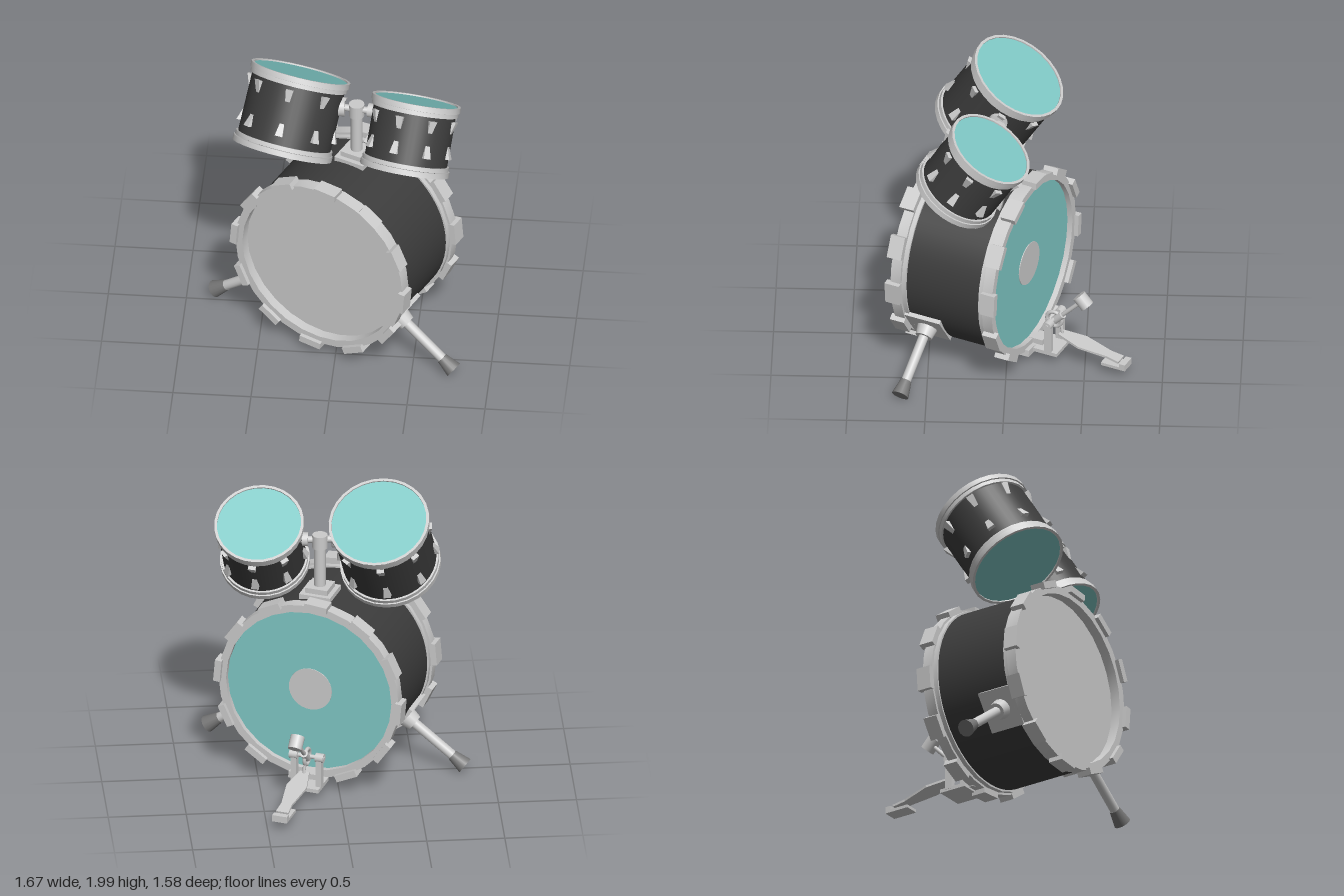
import * as THREE from 'three';
import { toCreasedNormals } from 'three/addons/utils/BufferGeometryUtils.js';

const mat = (color) => new THREE.MeshStandardMaterial({ color });
const GREY = mat(0xcccccc), DARK = mat(0x3c3c3c), TEAL = mat(0x7fc8c5), RUBBER = mat(0x777777);
const V = (x, y, z) => new THREE.Vector3(x, y, z);
const UP = V(0, 1, 0);

function add(parent, name, geometry, material = GREY, x = 0, y = 0, z = 0) {
  const mesh = new THREE.Mesh(geometry, material);
  mesh.name = name;
  mesh.position.set(x, y, z);
  parent.add(mesh);
  return mesh;
}

function group(parent, name) {
  const g = new THREE.Group();
  g.name = name;
  parent.add(g);
  return g;
}

// Rod between two points, with an optional taper
function rod(parent, name, a, b, r0, r1 = r0, material = GREY, sides = 16) {
  const d = b.clone().sub(a);
  const m = add(parent, name, new THREE.CylinderGeometry(r1, r0, d.length(), sides), material);
  m.position.copy(a).addScaledVector(d, 0.5);
  m.quaternion.setFromUnitVectors(UP, d.normalize());
  return m;
}

// Square-edged ring around the y axis
function ring(rIn, rOut, y0, y1, sides = 28) {
  const p = [[rOut, y0], [rOut, y1], [rIn, y1], [rIn, y0], [rOut, y0]];
  const g = new THREE.LatheGeometry(p.map(([x, y]) => new THREE.Vector2(x, y)), sides);
  return toCreasedNormals(g, 0.6);
}

// Box narrowing towards +y and thinning towards its outer face
function lugGeometry(w, h, d) {
  const g = new THREE.BoxGeometry(w, h, d).toNonIndexed();
  const p = g.attributes.position;
  for (let i = 0; i < p.count; i++) {
    if (p.getY(i) > 0) {
      p.setX(i, p.getX(i) * 0.6);
      if (p.getZ(i) > 0) p.setZ(i, 0);
    }
  }
  g.computeVertexNormals();
  return g;
}

function bassDrum(root) {
  const drum = group(root, 'bassDrum');
  drum.position.set(0.04, 0.68, 0.16);
  drum.rotation.y = -0.424;

  // Shell, heads and hoops are turned around y, then laid along z
  const body = group(drum, 'bassDrumBody');
  body.rotation.x = Math.PI / 2;
  add(body, 'bassShell', new THREE.CylinderGeometry(0.583, 0.583, 0.58, 64), DARK);
  add(body, 'frontHead', new THREE.CylinderGeometry(0.565, 0.565, 0.02, 48), GREY, 0, 0.285);
  add(body, 'batterHead', new THREE.CylinderGeometry(0.565, 0.565, 0.02, 48), TEAL, 0, -0.315);
  add(body, 'batterPatch', new THREE.CylinderGeometry(0.145, 0.145, 0.006, 32), GREY, 0, -0.327);
  for (const s of [1, -1]) {
    const end = s > 0 ? 'front' : 'rear';
    add(body, end + 'Hoop', ring(0.56, 0.61, -0.035, 0.035), GREY, 0, s * 0.325);
    add(body, end + 'InnerHoop', ring(0.57, 0.597, -0.015, 0.015), GREY, 0, s * 0.272);
    // Hoop clamps
    for (let i = 0; i < 12; i++) {
      const a = (i * 30 - s * 5) * Math.PI / 180;
      const c = add(drum, end + 'Clamp', new THREE.BoxGeometry(0.045, 0.15, 0.1), GREY,
        Math.cos(a) * 0.612, Math.sin(a) * 0.612, s * 0.338);
      c.rotation.z = a;
    }
  }

  // Spurs point outwards from the shell on both sides
  for (const s of [1, -1]) {
    const spur = group(drum, s > 0 ? 'leftSpur' : 'rightSpur');
    spur.position.z = 0.16;
    if (s < 0) spur.rotation.y = Math.PI;
    if (s < 0) spur.position.z = 0.16;
    const dir = V(Math.cos(0.628), -Math.sin(0.628), 0);
    const at = (r) => dir.clone().multiplyScalar(r);
    const plate = add(spur, 'spurPlate', new THREE.BoxGeometry(0.06, 0.27, 0.25));
    plate.position.copy(at(0.565));
    plate.rotation.z = -0.628;
    rod(spur, 'spurCollar', at(0.59), at(0.66), 0.068, 0.055);
    rod(spur, 'spurRod', at(0.64), at(1.0), 0.032);
    rod(spur, 'spurFoot', at(0.975), at(1.08), 0.036, 0.056, RUBBER);
  }
  pedal(drum);
}

// Kick pedal, in the frame of the bass drum (floor side at y = -0.61)
function pedal(drum) {
  const p = group(drum, 'pedal');
  p.position.set(-0.035, -0.68, 0);
  add(p, 'pedalBase', new THREE.BoxGeometry(0.2, 0.025, 0.19), GREY, 0, 0.075, -0.46);
  add(p, 'hoopGrip', new THREE.BoxGeometry(0.1, 0.05, 0.1), GREY, 0, 0.1, -0.38);
  for (const s of [1, -1]) {
    add(p, 'pedalPost', new THREE.BoxGeometry(0.035, 0.21, 0.05), GREY, s * 0.085, 0.18, -0.49);
    rod(p, 'axleBearing', V(s * 0.06, 0.285, -0.49), V(s * 0.115, 0.285, -0.49), 0.03);
  }
  rod(p, 'pedalAxle', V(-0.12, 0.285, -0.49), V(0.12, 0.285, -0.49), 0.014);
  const cam = add(p, 'pedalCam', new THREE.TorusGeometry(0.052, 0.013, 8, 24), GREY, 0, 0.28, -0.49);
  cam.rotation.y = Math.PI / 2;
  rod(p, 'pedalLink', V(0, 0.24, -0.54), V(0, 0.17, -0.55), 0.01);

  // Beater
  rod(p, 'beaterRod', V(0, 0.28, -0.5), V(0, 0.46, -0.675), 0.014);
  rod(p, 'beaterHub', V(0, 0.27, -0.49), V(0, 0.33, -0.55), 0.026);
  rod(p, 'beater', V(0, 0.445, -0.725), V(0, 0.51, -0.665), 0.046);

  // Waisted footboard, sloping down to the heel plate
  const half = [[0, 0.03], [0.06, 0.045], [0.16, 0.068], [0.27, 0.05], [0.35, 0.036], [0.44, 0.042]];
  const outline = [...half, ...half.map(([l, w]) => [l, -w]).reverse()];
  const shape = new THREE.Shape(outline.map(([l, w]) => new THREE.Vector2(w, l)));
  const board = add(p, 'footboard', new THREE.ExtrudeGeometry(shape, { depth: 0.015, bevelEnabled: false }),
    GREY, 0, 0.18, -0.53);
  board.rotation.x = -Math.PI / 2 - 0.19;
  add(p, 'heelPlate', new THREE.BoxGeometry(0.1, 0.02, 0.17), GREY, 0, 0.07, -0.93);
  add(p, 'heelBlock', new THREE.BoxGeometry(0.1, 0.04, 0.04), GREY, 0, 0.085, -0.995);
}

// Tilted tom between the centres of its two heads
function tom(root, name, top, bottom, r, lugTurn) {
  const t = group(root, name);
  const axis = top.clone().sub(bottom);
  const h = axis.length() / 2;
  t.position.copy(top).add(bottom).multiplyScalar(0.5);
  t.quaternion.setFromUnitVectors(UP, axis.normalize());
  const rs = r - 0.022;
  add(t, 'tomShell', new THREE.CylinderGeometry(rs, rs, 2 * h - 0.05, 48), DARK);
  for (const s of [1, -1]) {
    const end = s > 0 ? 'top' : 'bottom';
    add(t, end + 'Head', new THREE.CylinderGeometry(r - 0.014, r - 0.014, 0.01, 48), TEAL, 0, s * (h - 0.014));
    add(t, end + 'Hoop', ring(r - 0.018, r, -0.018, 0.018), GREY, 0, s * (h - 0.018));
    add(t, end + 'InnerHoop', ring(rs - 0.01, r - 0.008, -0.014, 0.014), GREY, 0, s * (h - 0.052));
    // Lugs, wide end towards the nearer hoop
    for (let i = 0; i < 8; i++) {
      const turn = group(t, end + 'Lug');
      turn.rotation.y = lugTurn + i * Math.PI / 4;
      const lug = add(turn, 'lug', lugGeometry(0.05, 0.08, 0.055), GREY,
        0, s > 0 ? h - 0.13 : 0.165 - h, rs);
      if (s > 0) lug.rotation.z = Math.PI;
    }
  }
}

// Post on top of the bass drum that carries both toms
function tomMount(root) {
  const m = group(root, 'tomMount');
  m.position.set(0.097, 0, 0.065);
  for (const [w, y] of [[0.21, 1.265], [0.15, 1.3]]) {
    const base = add(m, 'mountPlate', new THREE.BoxGeometry(w, 0.045, w), GREY, 0, y, 0);
    base.rotation.y = -0.424;
  }
  rod(m, 'mountPost', V(0, 1.27, 0), V(0, 1.64, 0), 0.038);
  rod(m, 'mountHead', V(0, 1.59, 0), V(0, 1.68, 0), 0.05);
  rod(m, 'tomArm', V(-0.17, 1.65, -0.01), V(0.17, 1.64, 0.02), 0.022);
  rod(m, 'rightArmDisc', V(-0.115, 1.65, 0), V(-0.075, 1.65, 0), 0.06);
  rod(m, 'leftArmDisc', V(0.075, 1.645, 0.01), V(0.11, 1.645, 0.015), 0.045);
}

export function createModel() {
  const root = new THREE.Group();
  root.name = 'drumKit';
  bassDrum(root);
  tomMount(root);
  tom(root, 'rightTom', V(-0.27, 1.82, -0.06), V(-0.37, 1.38, 0.2), 0.325, -0.14);
  tom(root, 'leftTom', V(0.485, 1.76, 0.095), V(0.425, 1.372, 0.33), 0.288, -0.3);
  return root;
}
